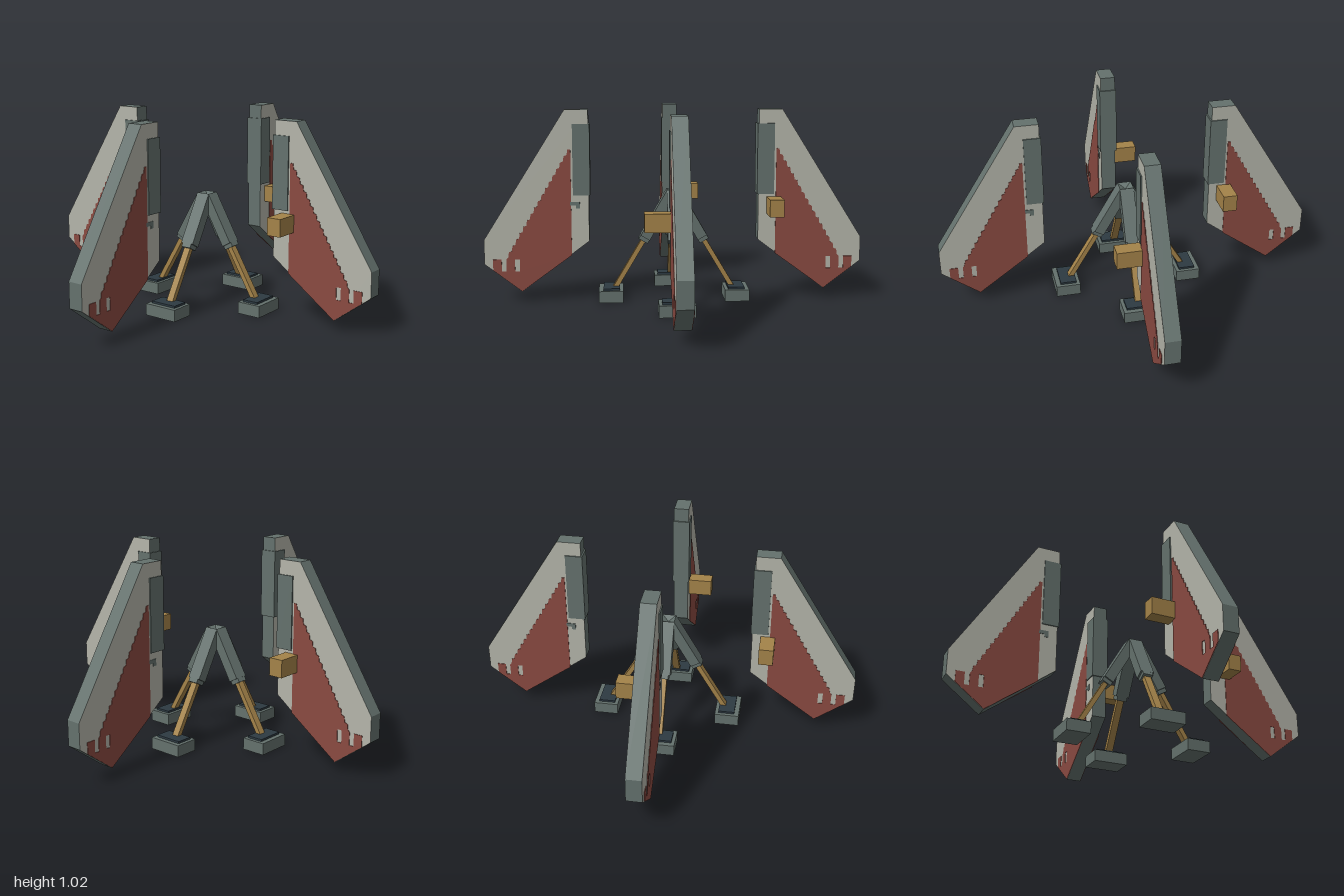
import * as THREE from 'three';

const mat = (name, color, side = THREE.FrontSide) =>
  Object.assign(new THREE.MeshStandardMaterial({ color, side }), { name });

const steel = mat('steel grey', 0x64716d);
const panel = mat('pale panel', 0xb4b5aa);
const red = mat('faded red', 0x8a4a41);
const brass = mat('brass', 0xa48349);
const navy = mat('dark navy', 0x2d3a42);

const HALF = 0.04; // half the thickness of a fin

const shapeOf = pts => new THREE.Shape(pts.map(([x, y]) => new THREE.Vector2(x, y)));

function add(parent, name, geometry, material) {
  const mesh = new THREE.Mesh(geometry, material);
  mesh.name = name;
  parent.add(mesh);
  return mesh;
}

// box given by its minimum and maximum corners
function box(parent, name, material, min, max) {
  const size = max.map((v, i) => v - min[i]);
  const mesh = add(parent, name, new THREE.BoxGeometry(...size), material);
  mesh.position.set(...max.map((v, i) => (v + min[i]) / 2));
  return mesh;
}

// square bar running between two points of the leg plane (x, y)
function bar(parent, name, material, [x0, y0], [x1, y1], thick, wide) {
  const length = Math.hypot(x1 - x0, y1 - y0);
  const mesh = add(parent, name, new THREE.BoxGeometry(thick, length, wide), material);
  mesh.position.set((x0 + x1) / 2, (y0 + y1) / 2, 0);
  mesh.rotation.z = Math.atan2(y1 - y0, x1 - x0) - Math.PI / 2;
  return mesh;
}

// thin plates laid on a fin face; side is +1 or -1
function decal(parent, name, shape, material, side) {
  const depth = 0.003;
  const mesh = add(parent, name, new THREE.ExtrudeGeometry(shape, { depth, bevelEnabled: false }), material);
  mesh.position.z = side > 0 ? HALF : -HALF - depth;
}

// red paint with a stepped upper edge, dripping ends and a worn slot
function paintShape() {
  const pts = [[0.54, 0.25], [0.805, 0.057], [0.955, 0.172], [0.955, 0.23], [0.91, 0.23],
    [0.91, 0.165], [0.885, 0.165], [0.885, 0.23]];
  const steps = 17;
  for (let i = 0; i < steps; i++) {
    const x = 0.875 - 0.335 * (i / steps);
    const y = 0.235 + 0.575 * ((i + 1) / steps);
    pts.push([x, y - 0.575 / steps + 0.006], [x - 0.004, y]);
  }
  pts.push([0.54, 0.812]);
  const shape = shapeOf(pts);
  shape.holes.push(shapeOf([[0.815, 0.165], [0.815, 0.23], [0.84, 0.23], [0.84, 0.165]]));
  return shape;
}

function makeFin() {
  const fin = new THREE.Group();
  fin.name = 'fin';
  const outline = shapeOf([[0.447, 1.017], [0.447, 0.325], [0.805, 0.055],
    [1, 0.205], [1, 0.335], [0.57, 1.017]]);
  const body = new THREE.ExtrudeGeometry(outline, { depth: HALF * 2, bevelEnabled: false });
  body.translate(0, 0, -HALF);
  add(fin, 'finBody', body, [panel, steel]);

  for (const side of [1, -1]) decal(fin, 'redPaint', paintShape(), red, side);
  decal(fin, 'greyMark', shapeOf([[0.495, 0.5], [0.515, 0.5], [0.515, 0.515],
    [0.545, 0.515], [0.545, 0.535], [0.495, 0.535]]), steel, -1);

  box(fin, 'finBracket', steel, [0.44, 0.57, -0.046], [0.53, 0.943, 0.046]);
  box(fin, 'sideBlock', brass, [0.492, 0.465, HALF - 0.002], [0.567, 0.555, 0.168]);
  return fin;
}

function makeLeg() {
  const leg = new THREE.Group();
  leg.name = 'leg';
  bar(leg, 'upperLeg', steel, [0.012, 0.58], [0.152, 0.337], 0.055, 0.074);
  bar(leg, 'legCollar', steel, [0.13, 0.376], [0.163, 0.318], 0.054, 0.056);
  bar(leg, 'lowerStrut', brass, [0.15, 0.34], [0.316, 0.06], 0.025, 0.038);
  box(leg, 'foot', steel, [0.27, 0, -0.093], [0.4, 0.062, 0.093]);
  box(leg, 'footPad', navy, [0.288, 0.06, -0.075], [0.375, 0.073, 0.075]);
  return leg;
}

export function createModel() {
  const model = new THREE.Group();
  model.name = 'landingFins';
  // four fins and four legs around the centre
  for (let i = 0; i < 4; i++) {
    for (const part of [makeFin(), makeLeg()]) {
      part.rotation.y = i * Math.PI / 2;
      model.add(part);
    }
  }
  return model;
}
